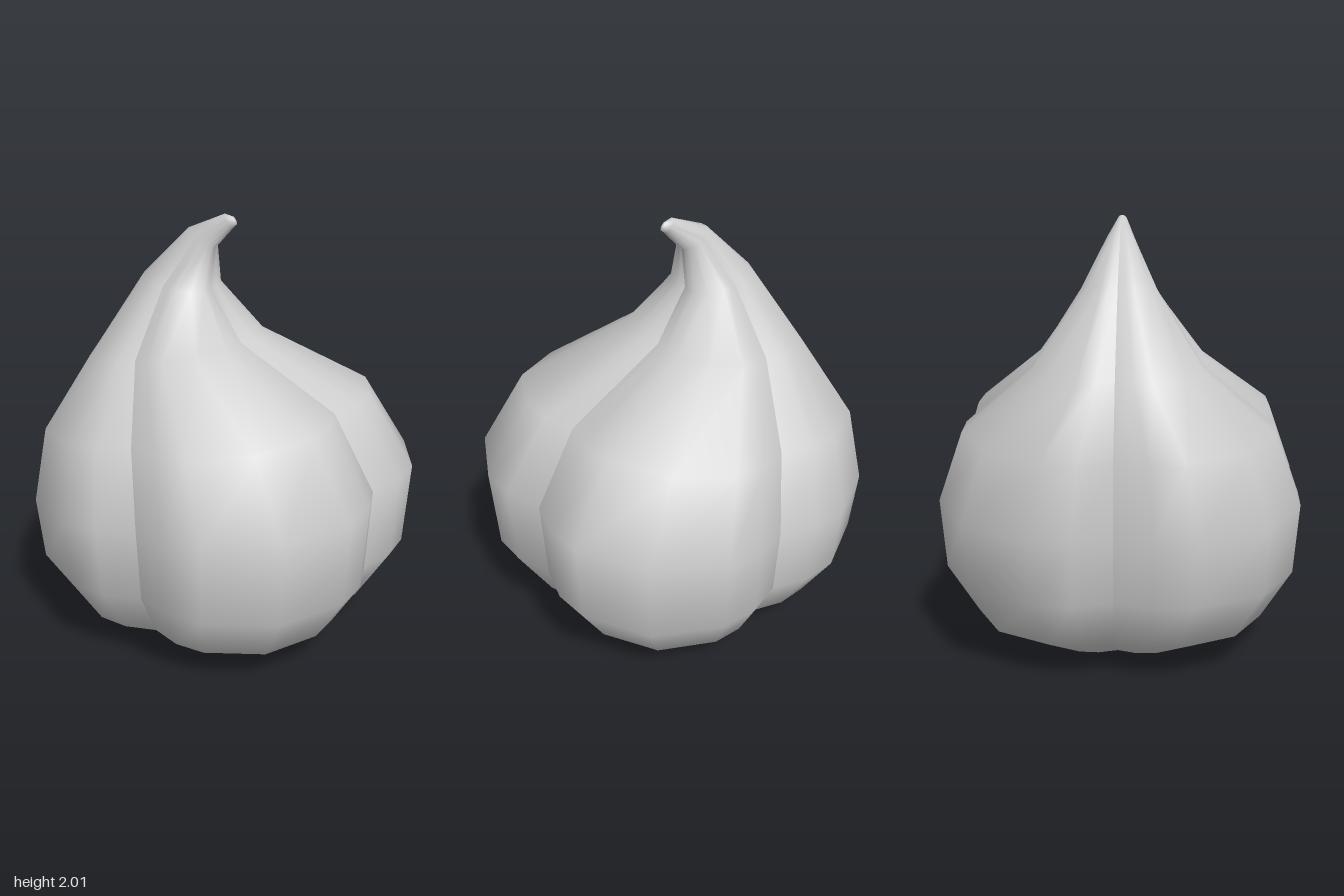
import * as THREE from 'three';

// Rings from the underside to the tip: [diagonal offset, height, radius, tilt, roundness]
const RINGS = [
  [-0.01, 0.14, 0.15, 0, 0.3],
  [-0.02, 0.05, 0.23, 0, 0],
  [-0.02, 0.03, 0.46, 0, 0],
  [-0.01, 0.17, 0.75, 0, 0],
  [0, 0.41, 0.905, 0.01, 0],
  [0, 0.755, 0.933, 0.055, 0],
  [-0.065, 1.09, 0.795, 0.06, 0],
  [-0.195, 1.37, 0.425, 0.04, 0],
  [-0.173, 1.68, 0.188, -0.02, 0.1],
  [-0.09, 1.89, 0.07, -0.03, 0.5],
  [0.008, 1.977, 0.024, -0.02, 1],
  [0.03, 1.98, 0.01, -0.012, 1],
  [0.034, 1.978, 0, 0, 1],
];

// Unit cross-section of one lobe, from valley to valley, facing +x
const HALF = [[0.892, 0.355], [0.763, 0.495], [0.585, 0.585]];
const LOBE = [
  ...HALF.map(([x, z]) => [x, -z]).reverse(),
  [1, 0],
  ...HALF,
];

// One lobe, swept through the tilted rings; separate normals keep the valleys crisp
function lobeGeometry(turn) {
  const c = Math.round(Math.cos(turn)), s = Math.round(Math.sin(turn));
  const positions = [], index = [], n = LOBE.length;
  RINGS.forEach(([offset, y, radius, tilt, round], j) => {
    LOBE.forEach(([lx, lz], i) => {
      const k = 1 + round * (1 / Math.hypot(lx, lz) - 1);
      const px = (lx * c - lz * s) * k, pz = (lx * s + lz * c) * k;
      positions.push(offset + radius * px, y + tilt * (px + pz), offset + radius * pz);
      if (j < RINGS.length - 1 && i < n - 1) {
        const a = j * n + i;
        index.push(a, a + n, a + 1, a + 1, a + n, a + n + 1);
      }
    });
  });
  const geometry = new THREE.BufferGeometry();
  geometry.setAttribute('position', new THREE.Float32BufferAttribute(positions, 3));
  geometry.setIndex(index);
  geometry.computeVertexNormals();
  return geometry;
}

export function createModel() {
  const model = new THREE.Group();
  model.name = 'bulb';
  const material = new THREE.MeshStandardMaterial({ color: 0xcccccc, side: THREE.DoubleSide });

  // Four lobes that merge into the curled stem
  ['leftLobe', 'frontLobe', 'rightLobe', 'backLobe'].forEach((name, i) => {
    const lobe = new THREE.Mesh(lobeGeometry(i * Math.PI / 2), material);
    lobe.name = name;
    model.add(lobe);
  });

  // Rounded root plug in the hollow underneath
  const profile = [[0, 0], [0.13, 0.03], [0.185, 0.08], [0.17, 0.17]]
    .map(([r, y]) => new THREE.Vector2(r, y));
  const root = new THREE.Mesh(new THREE.LatheGeometry(profile, 8), material);
  root.name = 'root';
  model.add(root);

  return model;
}
